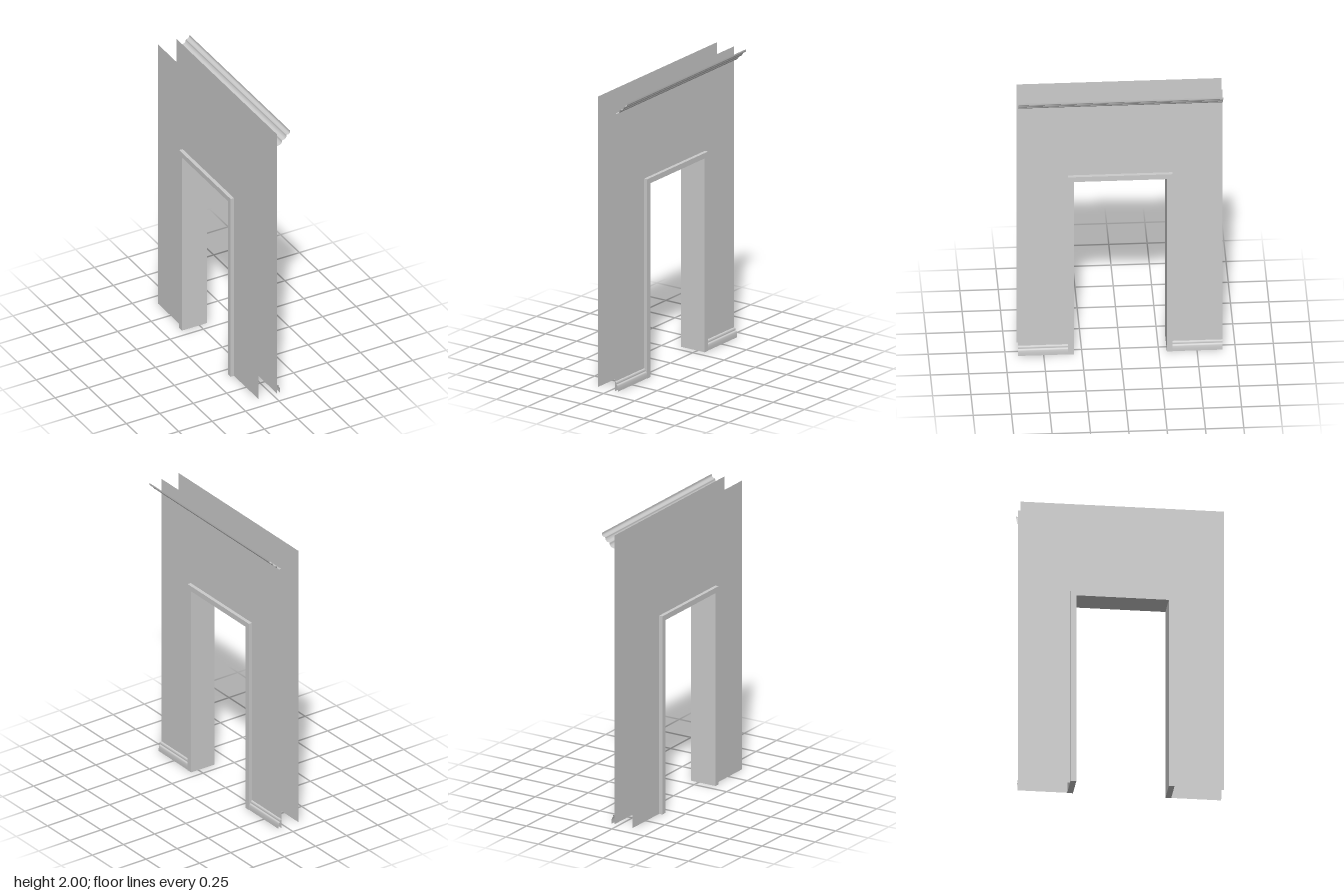
import * as THREE from 'three';

const WALL_FRONT = 0.033, WALL_BACK = -0.105; // x of the two wall faces
const HALF = 0.667, HEIGHT = 2;               // wall half length and height
const OUT_Z = 0.341, OUT_Y = 1.372;           // outer edge of door frame
const IN_Z = 0.303, IN_Y = 1.335;             // clear opening
const FRAME_X0 = -0.13, FRAME_X1 = 0.058;     // frame depth range

const material = new THREE.MeshStandardMaterial({ color: 0xcccccc, side: THREE.DoubleSide });

// Upside-down U standing on the ground
function portalShape(outerHalf, outerTop, innerHalf, innerTop) {
  return new THREE.Shape([
    [-outerHalf, 0], [-innerHalf, 0], [-innerHalf, innerTop], [innerHalf, innerTop],
    [innerHalf, 0], [outerHalf, 0], [outerHalf, outerTop], [-outerHalf, outerTop],
  ].map(([x, y]) => new THREE.Vector2(x, y)));
}

// Open moulding: a profile of [x, y] points (top to bottom) swept along z
function mouldingGeometry(profile, z0, z1, samples) {
  const curve = new THREE.CatmullRomCurve3(
    profile.map(([x, y]) => new THREE.Vector3(x, y, 0)), false, 'centripetal');
  const points = curve.getPoints(samples);
  const geometry = new THREE.PlaneGeometry(1, 1, 1, samples);
  const pos = geometry.attributes.position;
  for (let i = 0; i < pos.count; i++) {
    const p = points[Math.floor(i / 2)];
    pos.setXYZ(i, p.x, p.y, i % 2 ? z0 : z1);
  }
  geometry.computeVertexNormals();
  return geometry;
}

export function createModel() {
  const group = new THREE.Group();
  const add = (name, geometry) => {
    const mesh = new THREE.Mesh(geometry, material);
    mesh.name = name;
    group.add(mesh);
    return mesh;
  };

  // Two thin wall faces with the doorway cut out
  const wall = portalShape(HALF, HEIGHT, OUT_Z, OUT_Y);
  for (const [name, x, side] of [['frontWall', WALL_FRONT, 1], ['backWall', WALL_BACK, -1]]) {
    add(name, new THREE.ShapeGeometry(wall).rotateY(side * Math.PI / 2).translate(x, 0, 0));
  }

  // Door frame running through both walls
  const frame = new THREE.ExtrudeGeometry(portalShape(OUT_Z, OUT_Y, IN_Z, IN_Y),
    { depth: FRAME_X1 - FRAME_X0, bevelEnabled: false });
  add('doorFrame', frame.rotateY(Math.PI / 2).translate(FRAME_X0, 0, 0));

  // Crown moulding with three rolls
  const crown = [
    [0.13, 2], [0.128, 1.985], [0.116, 1.975], [0.105, 1.974], [0.102, 1.962],
    [0.092, 1.948], [0.078, 1.944], [0.072, 1.942], [0.068, 1.928], [0.055, 1.915], [0.033, 1.91],
  ];
  add('crownMoulding', mouldingGeometry(crown, -HALF, HALF, 50));

  // Baseboards either side of the doorway
  const base = [
    [0.033, 0.066], [0.041, 0.063], [0.044, 0.054], [0.044, 0.047],
    [0.051, 0.042], [0.054, 0.03], [0.055, 0.015], [0.055, 0],
  ];
  add('leftBaseboard', mouldingGeometry(base, OUT_Z, HALF, 28));
  add('rightBaseboard', mouldingGeometry(base, -HALF, -OUT_Z, 28));

  return group;
}
